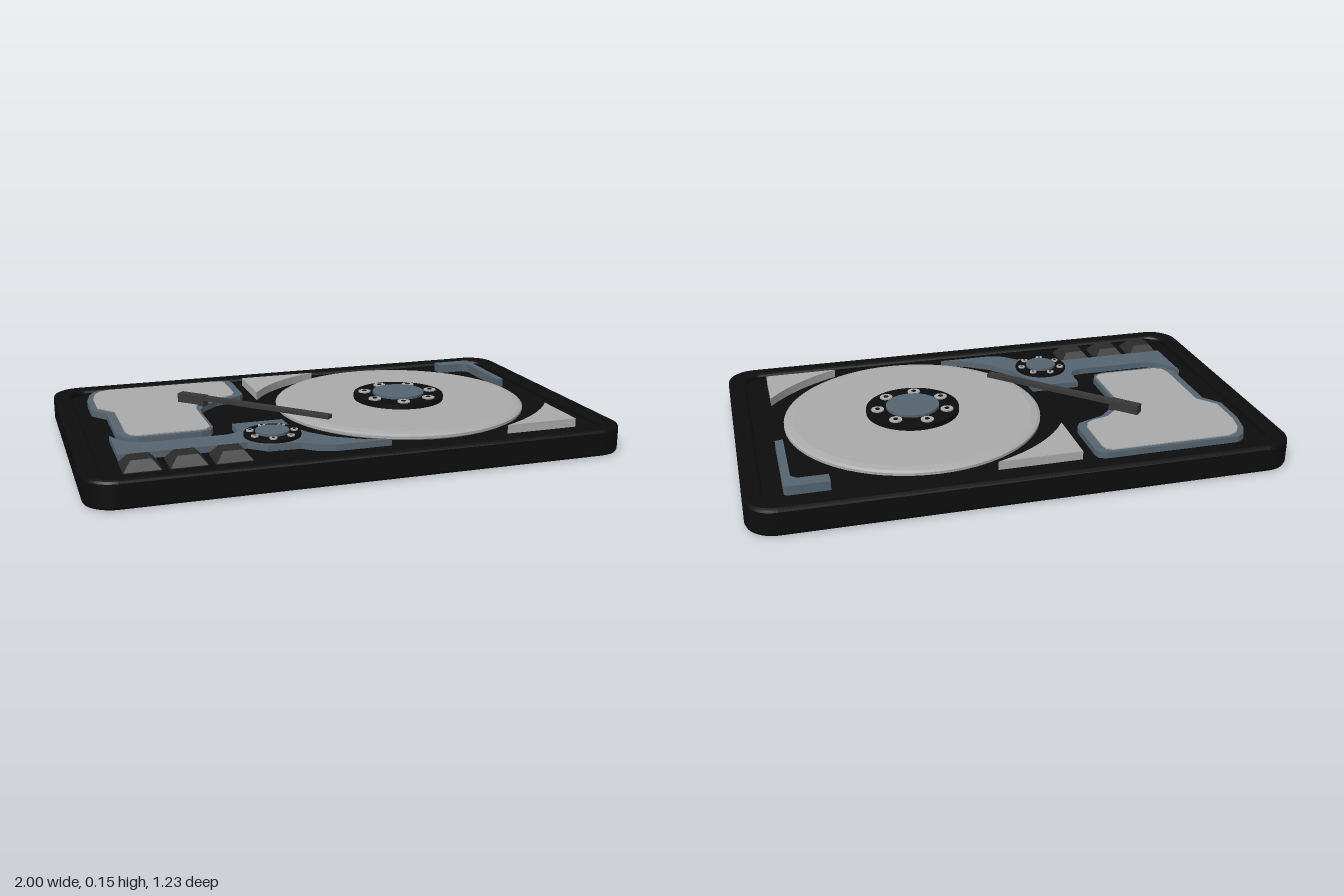
import * as THREE from 'three';

const mat = (name, color) => {
  const m = new THREE.MeshStandardMaterial({ color, flatShading: true });
  m.name = name;
  return m;
};

export function createModel() {
  const model = new THREE.Group();
  model.name = 'diskDevice';
  const black = mat('caseBlack', 0x0d0d0d);
  const silver = mat('silver', 0xaaaaaa);
  const blue = mat('slateBlue', 0x566570);
  const armGrey = mat('armGrey', 0x383838);
  const keyGrey = mat('keyGrey', 0x2b2b2b);

  const add = (name, geo, material, x = 0, y = 0, z = 0, parent = model) => {
    const m = new THREE.Mesh(geo, material);
    m.name = name;
    m.position.set(x, y, z);
    parent.add(m);
    return m;
  };

  // Plan outlines are drawn in x and z, then raised from y0 to y1
  const outline = pts => new THREE.Shape(pts.map(([x, z]) => new THREE.Vector2(x, -z)));
  const slab = (shape, y0, y1, bevel = 0) => {
    const g = new THREE.ExtrudeGeometry(shape, {
      depth: y1 - y0 - 2 * bevel, bevelEnabled: bevel > 0, bevelThickness: bevel,
      bevelSize: bevel, bevelOffset: -bevel, bevelSegments: 2, curveSegments: 8,
    });
    return g.rotateX(-Math.PI / 2).translate(0, y0 + bevel, 0);
  };
  const roundRect = (w, d, r, path = new THREE.Shape()) => {
    const h = Math.PI / 2;
    path.moveTo(w, -d + r);
    path.absarc(w - r, d - r, r, 0, h, false);
    path.absarc(-w + r, d - r, r, h, 2 * h, false);
    path.absarc(-w + r, -d + r, r, 2 * h, 3 * h, false);
    path.absarc(w - r, -d + r, r, 3 * h, 4 * h, false);
    path.closePath();
    return path;
  };

  // Case: raised rim around a recessed floor
  const rim = roundRect(1, 0.617, 0.11);
  rim.holes.push(roundRect(0.93, 0.55, 0.07, new THREE.Path()));
  add('caseRim', slab(rim, 0.001, 0.105, 0.012), black);
  add('caseFloor', slab(roundRect(0.96, 0.58, 0.09), 0.001, 0.085), black);

  // Platter with softened edge
  const platterProfile = [[0, 0.088], [0.48, 0.088], [0.495, 0.096], [0.495, 0.106], [0.485, 0.112], [0.46, 0.117], [0, 0.118]];
  add('platter', new THREE.LatheGeometry(platterProfile.map(p => new THREE.Vector2(...p)), 64), silver, 0.32, 0, 0);

  // Hubs: dark ring, blue cap and seven screws
  const hub = (name, x, z, r, capR, ringR, screwR, y0, y1) => {
    const g = new THREE.Group();
    g.name = name;
    g.position.set(x, 0, z);
    model.add(g);
    const disc = (n, rad, a, b, m, px = 0, pz = 0, seg = 40) =>
      add(n, new THREE.CylinderGeometry(rad, rad, b - a, seg), m, px, (a + b) / 2, pz, g);
    disc('hubRing', r, y0, y1, black);
    disc('hubCap', capR, y1 - 0.005, y1 + 0.01, blue);
    for (let i = 0; i < 7; i++) {
      const a = i / 7 * Math.PI * 2, px = Math.cos(a) * ringR, pz = Math.sin(a) * ringR;
      disc('screw', screwR, y1 - 0.003, y1 + 0.005, silver, px, pz, 14);
      disc('screwSocket', screwR * 0.4, y1, y1 + 0.0065, black, px, pz, 6);
    }
  };
  hub('platterHub', 0.32, 0, 0.18, 0.103, 0.137, 0.025, 0.11, 0.136);
  hub('smallHub', -0.293, 0.307, 0.105, 0.062, 0.083, 0.014, 0.1, 0.12);

  // Corner fillers with a curved side that follows the platter
  const filler = (name, a, corner, b, c) => {
    const s = new THREE.Shape();
    s.moveTo(a[0], -a[1]);
    s.lineTo(corner[0], -corner[1]);
    s.lineTo(b[0], -b[1]);
    s.quadraticCurveTo(c[0], -c[1], a[0], -a[1]);
    add(name, slab(s, 0.08, 0.118), silver);
  };
  filler('backFiller', [0.11, -0.5], [-0.205, -0.5], [-0.205, -0.25], [-0.1, -0.42]);
  filler('frontFiller', [0.56, 0.49], [0.845, 0.49], [0.845, 0.255], [0.74, 0.405]);

  // Corner bracket
  add('cornerBracket', slab(outline([
    [0.7, -0.495], [0.85, -0.495], [0.86, -0.485], [0.86, -0.135], [0.83, -0.13],
    [0.83, -0.42], [0.81, -0.44], [0.7, -0.44],
  ]), 0.08, 0.12), blue);

  // Arm mount: blue surround with a silver plate on top
  add('armMountSurround', slab(outline([
    [-0.81, -0.515], [-0.29, -0.515], [-0.265, -0.505], [-0.257, -0.48], [-0.257, -0.285], [-0.275, -0.255],
    [-0.31, -0.24], [-0.38, -0.215], [-0.45, -0.145], [-0.475, -0.09], [-0.475, 0.14], [-0.49, 0.175],
    [-0.53, 0.19], [-0.76, 0.19], [-0.81, 0.17], [-0.83, 0.12], [-0.83, -0.155], [-0.88, -0.22],
    [-0.88, -0.36], [-0.862, -0.45], [-0.84, -0.495],
  ]), 0.08, 0.109), blue);
  add('armMountPlate', slab(outline([
    [-0.78, -0.502], [-0.32, -0.502], [-0.295, -0.485], [-0.29, -0.46], [-0.29, -0.3], [-0.305, -0.265],
    [-0.335, -0.248], [-0.4, -0.23], [-0.475, -0.155], [-0.487, -0.1], [-0.487, 0.145], [-0.505, 0.168],
    [-0.54, 0.172], [-0.755, 0.172], [-0.785, 0.155], [-0.797, 0.12], [-0.797, -0.165], [-0.855, -0.235],
    [-0.855, -0.37], [-0.84, -0.445], [-0.815, -0.485],
  ]), 0.1, 0.113), silver);

  // Control plate under the small hub
  add('controlPlate', slab(outline([
    [-0.857, 0.135], [-0.83, 0.195], [-0.79, 0.235], [-0.73, 0.252], [-0.45, 0.252], [-0.415, 0.24],
    [-0.4, 0.21], [-0.4, 0.125], [-0.205, 0.125], [-0.2, 0.22], [-0.16, 0.315], [-0.09, 0.395],
    [0, 0.455], [0.1, 0.49], [-0.11, 0.49], [-0.17, 0.47], [-0.22, 0.425], [-0.34, 0.42],
    [-0.4, 0.365], [-0.857, 0.365],
  ]), 0.08, 0.109), blue);

  // Reading arm: thick pivot block and a slim diagonal beam
  const arm = new THREE.Group();
  arm.name = 'arm';
  arm.position.set(-0.285, 0, -0.002);
  arm.rotation.y = -Math.PI / 4;
  model.add(arm);
  const beam = new THREE.BoxGeometry(0.67, 0.014, 0.034);
  const p = beam.attributes.position;
  for (let i = 0; i < p.count; i++) if (p.getX(i) > 0) p.setY(i, p.getY(i) - 0.004);
  add('armBeam', beam, armGrey, 0, 0.139, 0, arm);
  add('armPivot', new THREE.BoxGeometry(0.12, 0.04, 0.038), armGrey, -0.277, 0.128, 0, arm);

  // Keys: posts through the case with tapered caps
  for (const x of [-0.795, -0.637, -0.48]) {
    const key = new THREE.Group();
    key.name = 'key';
    key.position.set(x, 0, 0.447);
    model.add(key);
    add('keyPost', new THREE.BoxGeometry(0.13, 0.09, 0.12), keyGrey, 0, 0.045, 0, key);
    const cap = new THREE.CylinderGeometry(0.036 * Math.SQRT2, 0.064 * Math.SQRT2, 0.034, 4);
    cap.rotateY(Math.PI / 4);
    add('keyCap', cap, keyGrey, 0, 0.107, 0, key);
  }
  return model;
}
